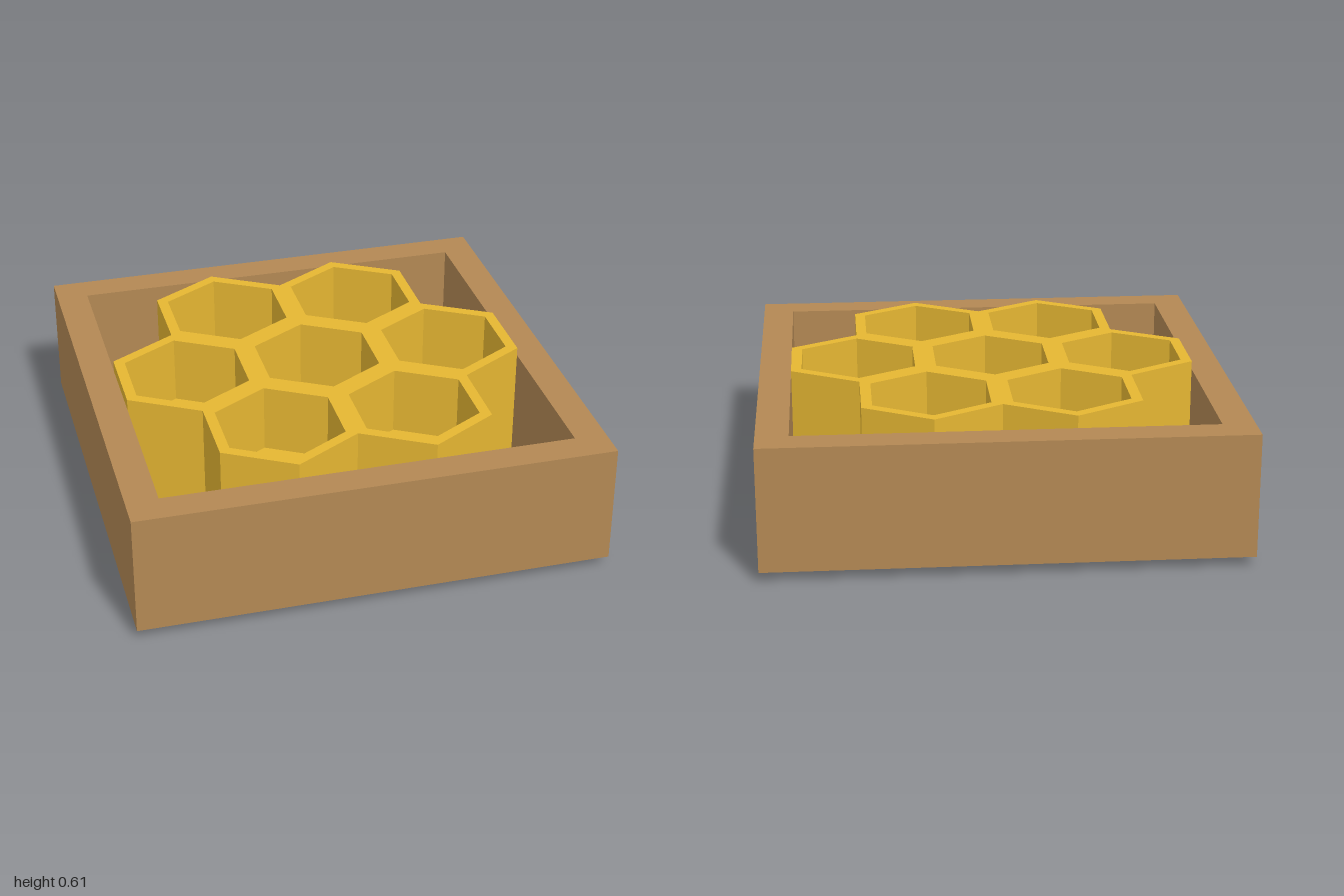
import * as THREE from 'three';

const PITCH = 0.575;                    // distance between cell centres
const OUTER = PITCH / Math.sqrt(3);     // corner radius of a cell
const INNER = 0.28;                     // corner radius of a cell opening
const COMB_HEIGHT = 0.607;
const FLOOR_BOTTOM = 0.22;
const FLOOR_TOP = 0.31;
const deg = THREE.MathUtils.degToRad;

const polar = (c, radius, angle) =>
  new THREE.Vector2(c.x + radius * Math.cos(deg(angle)), c.y + radius * Math.sin(deg(angle)));

// Extrudes a plan shape upwards between two heights
function extrudeUp(shape, bottom, top) {
  const geometry = new THREE.ExtrudeGeometry(shape, { depth: top - bottom, bevelEnabled: false });
  return geometry.rotateX(-Math.PI / 2).translate(0, bottom, 0);
}

const square = (h) => [[-h, -h], [h, -h], [h, h], [-h, h]].map(([x, y]) => new THREE.Vector2(x, y));

export function createModel() {
  const model = new THREE.Group();
  model.name = 'honeycombInFrame';
  const wood = new THREE.MeshStandardMaterial({ color: 0xb38854, flatShading: true });
  const wax = new THREE.MeshStandardMaterial({ color: 0xe5b632, flatShading: true });

  const add = (name, geometry, material, parent = model) => {
    const mesh = new THREE.Mesh(geometry, material);
    mesh.name = name;
    parent.add(mesh);
    return mesh;
  };

  // Square wooden frame, open above and below
  const frame = new THREE.Shape(square(1));
  frame.holes.push(new THREE.Path(square(0.865)));
  add('frame', extrudeUp(frame, 0.043, 0.567), wood);

  // Seven cell centres: one in the middle, six around it
  const origin = new THREE.Vector2();
  const angles = [0, 60, 120, 180, 240, 300];
  const ring = angles.map((a) => polar(origin, PITCH, a));
  const centres = [origin, ...ring];

  // Comb walls: merged outline of the cells with hexagonal openings
  const comb = new THREE.Group();
  comb.name = 'honeycomb';
  model.add(comb);
  const outline = ring.flatMap((c, i) => [-90, -30, 30].map((a) => polar(c, OUTER, angles[i] + a)));
  const walls = new THREE.Shape(outline);
  for (const c of centres) {
    walls.holes.push(new THREE.Path(angles.map((a) => polar(c, INNER, 30 + a))));
  }
  add('cellWalls', extrudeUp(walls, 0, COMB_HEIGHT), wax, comb);

  // Floors set slightly into the walls, so cells open on both sides
  const floor = new THREE.CylinderGeometry(INNER + 0.01, INNER + 0.01, FLOOR_TOP - FLOOR_BOTTOM, 6);
  for (const c of centres) {
    add('cellFloor', floor, wax, comb).position.set(c.x, (FLOOR_BOTTOM + FLOOR_TOP) / 2, -c.y);
  }
  return model;
}
